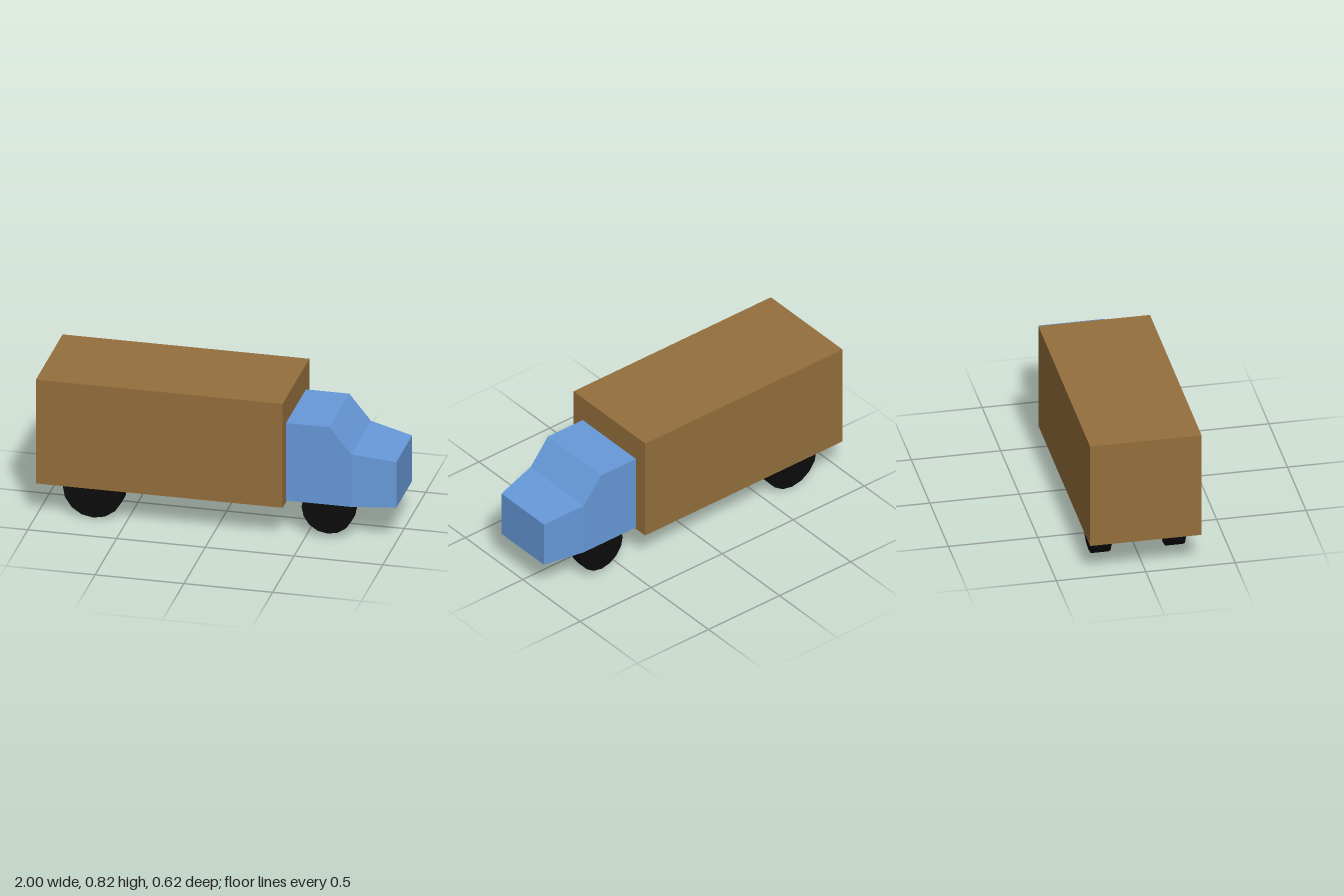
import * as THREE from 'three';

const paint = (color, flatShading = true) => new THREE.MeshStandardMaterial({ color, flatShading });

// Skins rectangular cross-sections [x, top, halfWidth] along x and closes both ends.
function loftAlongX(sections, bottom) {
  const rings = sections.map(([x, top, w]) => [
    [x, bottom, w], [x, bottom, -w], [x, top, -w], [x, top, w],
  ]);
  const positions = [];
  const quad = (a, b, c, d) => positions.push(...a, ...b, ...c, ...a, ...c, ...d);
  for (let i = 0; i < rings.length - 1; i++) {
    for (let k = 0; k < 4; k++) {
      const n = (k + 1) % 4;
      quad(rings[i][k], rings[i][n], rings[i + 1][n], rings[i + 1][k]);
    }
  }
  quad(...[...rings[0]].reverse());
  quad(...rings[rings.length - 1]);
  const geometry = new THREE.BufferGeometry();
  geometry.setAttribute('position', new THREE.Float32BufferAttribute(positions, 3));
  geometry.computeVertexNormals();
  return geometry;
}

export function createModel() {
  const truck = new THREE.Group();
  truck.name = 'truck';
  const add = (name, geometry, material, x = 0, y = 0, z = 0) => {
    const mesh = new THREE.Mesh(geometry, material);
    mesh.name = name;
    mesh.position.set(x, y, z);
    truck.add(mesh);
  };

  // Cargo box
  add('cargoBox', new THREE.BoxGeometry(1.39, 0.623, 0.624), paint(0x946f3c), -0.305, 0.5075, 0);

  // Cab: roof, sloped windscreen and tapering bonnet
  const cab = loftAlongX([
    [0.39, 0.67, 0.232],
    [0.635, 0.67, 0.232],
    [0.757, 0.52, 0.232],
    [1, 0.478, 0.185],
  ], 0.205);
  add('cab', cab, paint(0x6699d8));

  // Wheels, one pair per axle
  const rubber = paint(0x0b0b0b, false);
  const axles = [
    { name: 'rear', x: -0.69, y: 0.172, radius: 0.172, inner: 0.159, outer: 0.257 },
    { name: 'front', x: 0.622, y: 0.173, radius: 0.147, inner: 0.138, outer: 0.221 },
  ];
  for (const { name, x, y, radius, inner, outer } of axles) {
    const wheel = new THREE.CylinderGeometry(radius, radius, outer - inner, 16).rotateX(Math.PI / 2);
    for (const side of [1, -1]) {
      add(`${name}Wheel${side > 0 ? 'Near' : 'Far'}`, wheel, rubber, x, y, side * (inner + outer) / 2);
    }
  }
  return truck;
}
